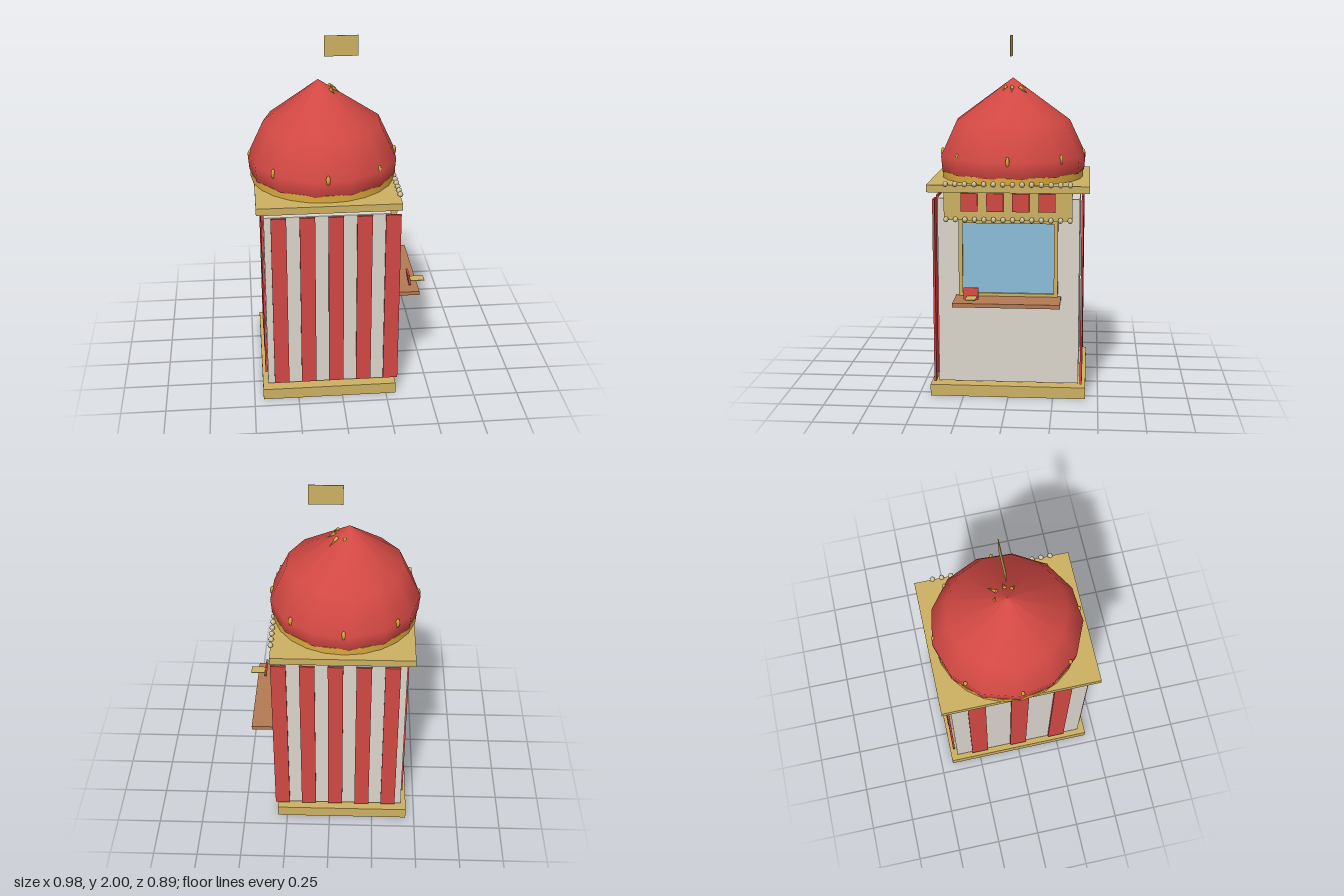
import * as THREE from 'three';

const mat = (name, color, opts = {}) => {
  const m = new THREE.MeshStandardMaterial({ color, ...opts });
  m.name = name;
  return m;
};

export function createModel() {
  const red = mat('red', 0xd24843);
  const gold = mat('gold', 0xcdb162, { side: THREE.DoubleSide });
  const amber = mat('amber', 0xd9a93a);
  const cream = mat('offWhite', 0xdbd5cc);
  const blue = mat('glassBlue', 0x8cbcda);
  const brown = mat('woodBrown', 0xb57a55);
  const pale = mat('paleGold', 0xd6c89c);

  const booth = new THREE.Group();
  booth.name = 'booth';
  const CX = -0.075; // axis of the dome and body

  const add = (name, geo, material, x = 0, y = 0, z = 0) => {
    const m = new THREE.Mesh(geo, material);
    m.name = name;
    m.position.set(x, y, z);
    booth.add(m);
    return m;
  };
  // box given by its minimum and maximum on each axis
  const box = (name, material, x0, x1, y0, y1, z0, z1) =>
    add(name, new THREE.BoxGeometry(x1 - x0, y1 - y0, z1 - z0), material,
      (x0 + x1) / 2, (y0 + y1) / 2, (z0 + z1) / 2);

  // base, walls and cornice
  box('base', gold, -0.45, 0.305, 0.005, 0.07, -0.43, 0.435);
  box('walls', cream, -0.42, 0.265, 0.083, 1.125, -0.39, 0.39);
  box('cornice', gold, -0.46, 0.318, 1.165, 1.205, -0.442, 0.444);

  // red stripes on the two side walls and the rear wall
  for (let i = 0; i < 5; i++) {
    const x = -0.342 + i * 0.1545;
    for (const s of [-1, 1]) {
      add('sideStripe', new THREE.BoxGeometry(0.083, 1.03, 0.012), red, x, 0.61, s * 0.405);
    }
  }
  for (const z of [-0.245, 0, 0.245]) {
    add('rearStripe', new THREE.BoxGeometry(0.012, 1.03, 0.1), red, -0.427, 0.61, z);
  }

  // ticket window with frame
  box('windowGlass', blue, 0.264, 0.272, 0.59, 1.0, -0.255, 0.255);
  for (const s of [-1, 1]) {
    add('windowJamb', new THREE.BoxGeometry(0.025, 0.42, 0.022), gold, 0.272, 0.795, s * 0.262);
    add('windowRail', new THREE.BoxGeometry(0.025, 0.018, 0.545), gold, 0.272, 0.795 + s * 0.205, 0);
  }

  // counter and the tickets lying on it
  box('counter', brown, 0.265, 0.45, 0.56, 0.582, -0.29, 0.29);
  const ticket = add('ticketRoll', new THREE.BoxGeometry(0.012, 0.065, 0.08), red, 0.4, 0.625, 0.193);
  ticket.rotation.z = 0.15;
  box('ticketStrip', gold, 0.405, 0.49, 0.609, 0.613, 0.16, 0.216);

  // sign board with red panels and bead rows
  box('signBoard', gold, 0.265, 0.302, 1.01, 1.165, -0.35, 0.35);
  for (let i = 0; i < 4; i++) {
    const z = -0.2115 + i * 0.141;
    box('signPanel', red, 0.302, 0.311, 1.06, 1.16, z - 0.046, z + 0.046);
  }
  const bead = new THREE.SphereGeometry(0.016, 6, 4);
  for (let i = 0; i < 14; i++) {
    const z = -0.338 + i * 0.052;
    add('upperBead', bead, pale, 0.318, 1.212, z);
    add('lowerBead', bead, pale, 0.308, 1.015, z);
  }

  // dome on its ring
  add('domeRing', new THREE.CylinderGeometry(0.402, 0.402, 0.04, 24), amber, CX, 1.225, 0);
  const profile = [[0.385, 1.235], [0.408, 1.24], [0.416, 1.33], [0.325, 1.525], [0.001, 1.76]]
    .map(([r, y]) => new THREE.Vector2(r, y));
  const domeGeo = new THREE.LatheGeometry(profile, 13, -Math.PI / 2 - 0.05);
  const p = domeGeo.attributes.position;
  for (let i = 0; i < p.count; i++) {
    if (p.getY(i) > 1.7) p.setX(i, p.getX(i) - 0.022); // peak sits slightly to the rear
  }
  add('dome', domeGeo, red, CX, 0, 0);

  // studs round the dome
  for (let i = 0; i < 8; i++) {
    const a = (i * Math.PI) / 4;
    const stud = add('domeStud', new THREE.SphereGeometry(0.02, 6, 5), amber,
      CX + Math.cos(a) * 0.403, 1.335, Math.sin(a) * 0.403);
    stud.scale.set(0.6, 1.4, 0.6);
  }

  // small spikes breaking out near the peak
  for (const [x, y, z, len] of [[0.0, 1.698, 0, 0.05], [-0.01, 1.695, -0.065, 0.07],
    [-0.022, 1.703, 0.045, 0.04], [-0.072, 1.704, -0.068, 0.03]]) {
    const spike = add('peakSpike', new THREE.ConeGeometry(0.011, len, 6), amber, x, y, z);
    const out = new THREE.Vector3(x - CX, -0.05, z).normalize();
    spike.quaternion.setFromUnitVectors(new THREE.Vector3(0, 1, 0), out);
  }

  // flag above the peak
  box('flag', gold, -0.063, 0.122, 1.886, 2.0, -0.002, 0.002);

  return booth;
}
